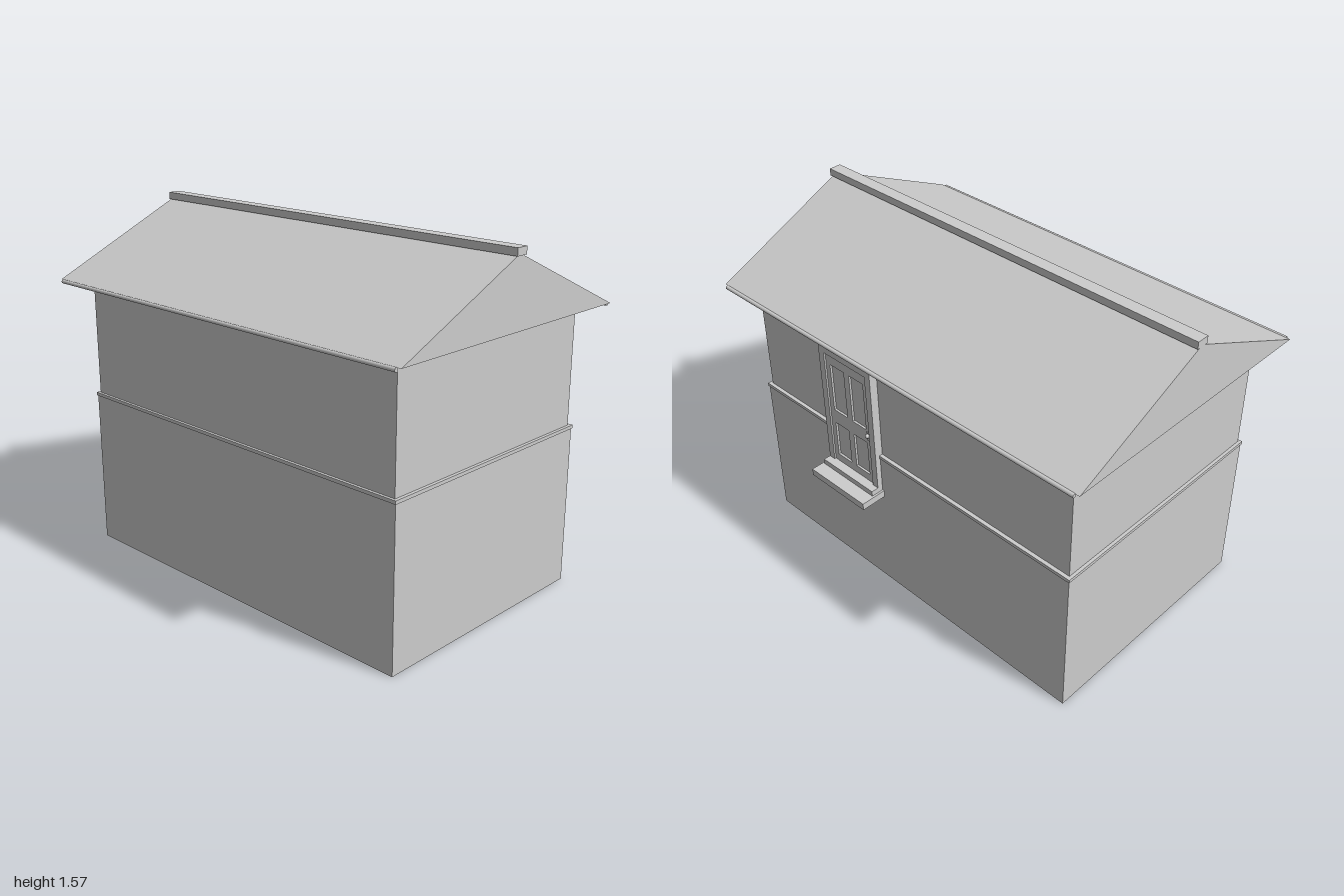
import * as THREE from 'three';

export function createModel() {
  const group = new THREE.Group();
  const grey = new THREE.MeshStandardMaterial({ color: 0xcccccc });
  grey.name = 'plain grey';

  const add = (name, geometry, parent = group) => {
    const mesh = new THREE.Mesh(geometry, grey);
    mesh.name = name;
    parent.add(mesh);
    return mesh;
  };
  // Box given by its limits on each axis
  const box = (name, [x0, x1], [y0, y1], [z0, z1], parent) =>
    add(name, new THREE.BoxGeometry(x1 - x0, y1 - y0, z1 - z0), parent)
      .position.set((x0 + x1) / 2, (y0 + y1) / 2, (z0 + z1) / 2);
  // Closed outline from corner points
  const outline = (points, Type = THREE.Shape) =>
    new Type(points.map(([x, y]) => new THREE.Vector2(x, y)));
  const rect = (x0, x1, y0, y1) => [[x0, y0], [x1, y0], [x1, y1], [x0, y1]];
  // Flat plate with rectangular holes, lying between two z values
  const plate = (name, rim, holes, z0, z1, parent) => {
    const shape = outline(rim);
    shape.holes = holes.map((h) => outline(h.slice().reverse(), THREE.Path));
    const geometry = new THREE.ExtrudeGeometry(shape, { depth: z1 - z0, bevelEnabled: false });
    add(name, geometry, parent).position.z = z0;
  };

  // Walls: wider lower storey, thin ledge, upper storey
  box('lowerWalls', [-0.903, 0.903], [0, 0.703], [-0.555, 0.573]);
  box('wallLedge', [-0.907, 0.907], [0.703, 0.718], [-0.559, 0.577]);
  box('upperWalls', [-0.893, 0.893], [0.718, 1.245], [-0.542, 0.565]);

  // Solid gable roof, extruded along x
  const mid = 0.01, half = 0.653;
  const gable = outline([[-half, 1.245], [half, 1.245], [0, 1.542]]);
  const roof = new THREE.ExtrudeGeometry(gable, { depth: 1.992, bevelEnabled: false });
  roof.rotateY(Math.PI / 2);
  add('roof', roof).position.set(-0.999, 0, mid);
  box('ridgeCap', [-1, 1], [1.535, 1.567], [-0.02, 0.038]);

  // Round rods along both eaves
  for (const side of [-1, 1]) {
    const rod = new THREE.CylinderGeometry(0.009, 0.009, 1.955, 16);
    rod.rotateZ(Math.PI / 2);
    add(side > 0 ? 'frontEaveRod' : 'backEaveRod', rod)
      .position.set(-0.002, 1.239, mid + side * 0.657);
  }

  // Back door with frame, sill and step
  const door = new THREE.Group();
  door.name = 'backDoor';
  group.add(door);
  const x0 = 0.148, x1 = 0.465, base = 0.527, top = 1.154, rim = 0.032;
  plate('doorFrame', rect(x0, x1, base, top),
    [rect(x0 + rim, x1 - rim, base + 0.005, top - rim)], -0.58, -0.54, door);

  // Door leaf with four recessed panels
  const panels = [];
  for (const [a, b] of [[0.205, 0.29], [0.323, 0.408]]) {
    for (const [c, d] of [[0.59, 0.765], [0.835, 1.07]]) panels.push(rect(a, b, c, d));
  }
  plate('doorLeaf', rect(x0 + rim, x1 - rim, base, top - rim), panels, -0.572, -0.55, door);
  box('doorPanels', [x0 + rim, x1 - rim], [base, top - rim], [-0.562, -0.54], door);

  box('doorSill', [0.138, 0.475], [0.494, base], [-0.676, -0.545], door);
  box('doorStep', [x0, x1], [base, 0.552], [-0.614, -0.56], door);

  // Handle: backplate and knob
  box('handlePlate', [0.186, 0.199], [0.785, 0.83], [-0.575, -0.57], door);
  add('doorKnob', new THREE.SphereGeometry(0.01, 14, 10), door).position.set(0.192, 0.812, -0.579);

  return group;
}
